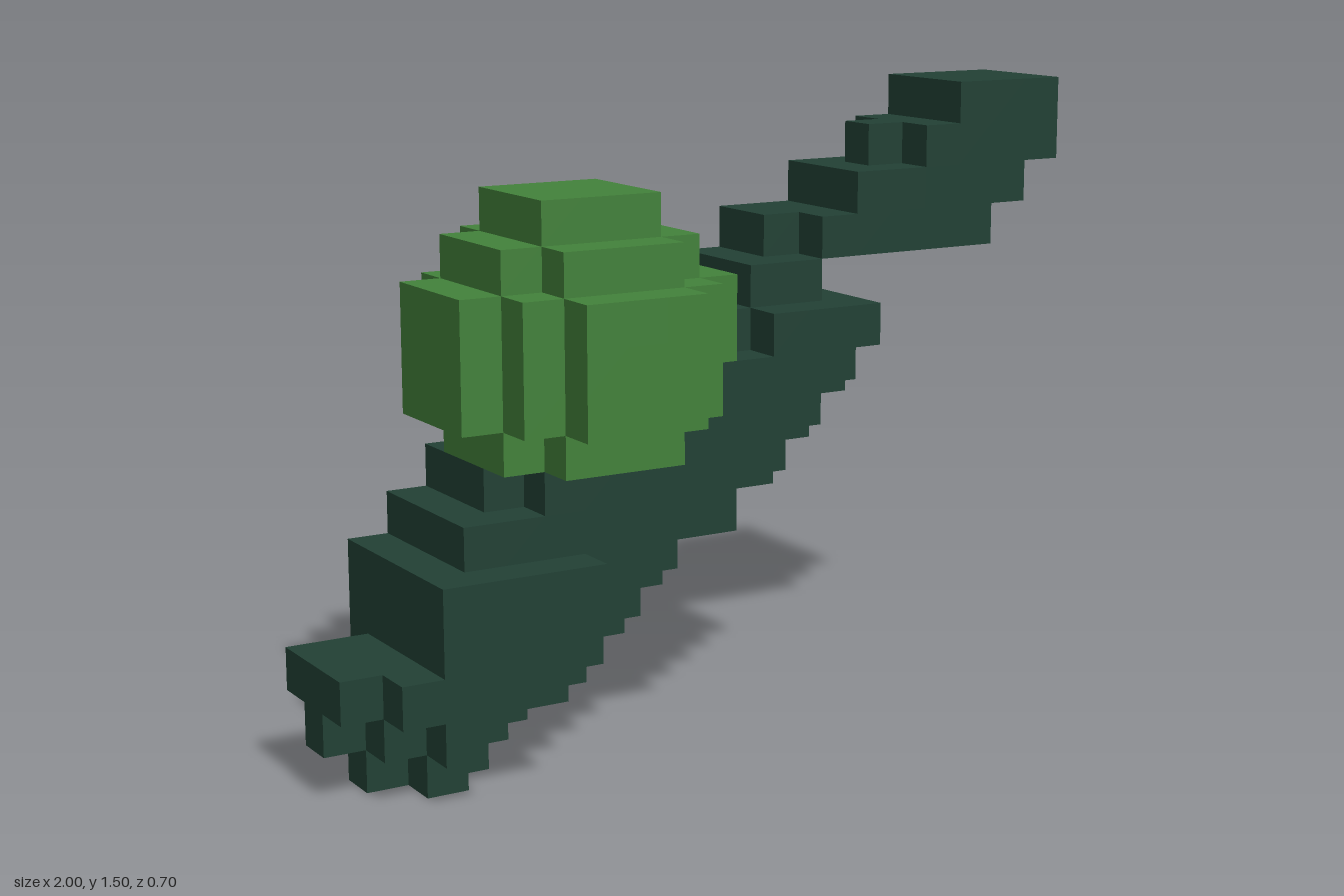
import * as THREE from 'three';
import { mergeGeometries } from 'three/addons/utils/BufferGeometryUtils.js';

const CELL = 0.1;

// Set of filled cells; cell (i, j, k) covers x i..i+1, y j..j+1 and is centred on z = k.
const key = (i, j, k) => `${i},${j},${k}`;

// Fill a z layer with one run [start, end) of x cells per row, going up from firstRow.
function fillLayer(cells, k, firstRow, runs) {
  runs.forEach(([x0, x1], row) => {
    for (let i = x0; i < x1; i++) cells.set(key(i, firstRow + row, k), [i, firstRow + row, k]);
  });
}

// One square for each exposed cell side.
const SIDES = [
  [[1, 0, 0], 0, Math.PI / 2], [[-1, 0, 0], 0, -Math.PI / 2],
  [[0, 1, 0], -Math.PI / 2, 0], [[0, -1, 0], Math.PI / 2, 0],
  [[0, 0, 1], 0, 0], [[0, 0, -1], 0, Math.PI],
];

function blockMesh(name, cells, material) {
  const faces = [];
  for (const [i, j, k] of cells.values()) {
    for (const [[dx, dy, dz], rx, ry] of SIDES) {
      if (cells.has(key(i + dx, j + dy, k + dz))) continue;
      const face = new THREE.PlaneGeometry(CELL, CELL);
      face.rotateX(rx).rotateY(ry);
      face.translate(
        (i + 0.5 + dx / 2) * CELL,
        (j + 0.5 + dy / 2) * CELL,
        (k + dz / 2) * CELL
      );
      faces.push(face);
    }
  }
  const mesh = new THREE.Mesh(mergeGeometries(faces), material);
  mesh.name = name;
  return mesh;
}

export function createModel() {
  const model = new THREE.Group();
  model.name = 'blockTubeWithBall';
  const darkGreen = new THREE.MeshStandardMaterial({ color: 0x224135 });
  darkGreen.name = 'darkGreen';
  const leafGreen = new THREE.MeshStandardMaterial({ color: 0x43823b });
  leafGreen.name = 'leafGreen';

  // Thick slanted body with a rounded lower end, layer by layer from back to front
  const body = new Map();
  fillLayer(body, -2, 1, [[-8, -6], [-8, -5], [-8, -4], [-8, -3], [-7, -1], [-6, 1], [-3, 2], [-1, 4], [0, 4]]);
  fillLayer(body, -1, 0, [[-8, -7], [-9, -6], [-10, -4], [-8, -3], [-8, -2], [-7, 0], [-6, 1], [-4, 3], [-1, 4], [0, 4]]);
  fillLayer(body, 0, 0, [[-9, -6], [-10, -5], [-10, -3], [-8, -2], [-8, -1], [-7, 0], [-6, 2], [-4, 3], [-1, 4], [0, 4]]);
  fillLayer(body, 1, 0, [[-8, -7], [-9, -6], [-10, -4], [-8, -3], [-8, -2], [-7, 0], [-5, 1], [-2, 2], [-1, 3], [1, 4]]);
  fillLayer(body, 2, 1, [[-8, -7], [-9, -5], [-8, -5], [-8, -4]]);

  // Thin upper arm, three cells deep, with a small nub on its middle layer
  const arm = new Map();
  fillLayer(arm, -2, 10, [[1, 3], [2, 8], [4, 9], [6, 10], [7, 10]]);
  fillLayer(arm, -1, 10, [[1, 3], [2, 8], [4, 9], [5, 10], [7, 10]]);
  fillLayer(arm, 0, 10, [[1, 3], [3, 8], [4, 9], [6, 10], [7, 10]]);

  // Stepped ball, seven cells across
  const ball = new Map();
  for (let x = -3; x <= 3; x++)
    for (let y = -3; y <= 3; y++)
      for (let z = -3; z <= 3; z++)
        if (x * x + y * y + z * z <= 11) ball.set(key(x - 4, y + 9, z), [x - 4, y + 9, z]);

  // Leave out ball cells that the body already fills
  for (const k of [...ball.keys()]) if (body.has(k)) ball.delete(k);

  model.add(
    blockMesh('body', body, darkGreen),
    blockMesh('upperArm', arm, darkGreen),
    blockMesh('ball', ball, leafGreen)
  );
  return model;
}
